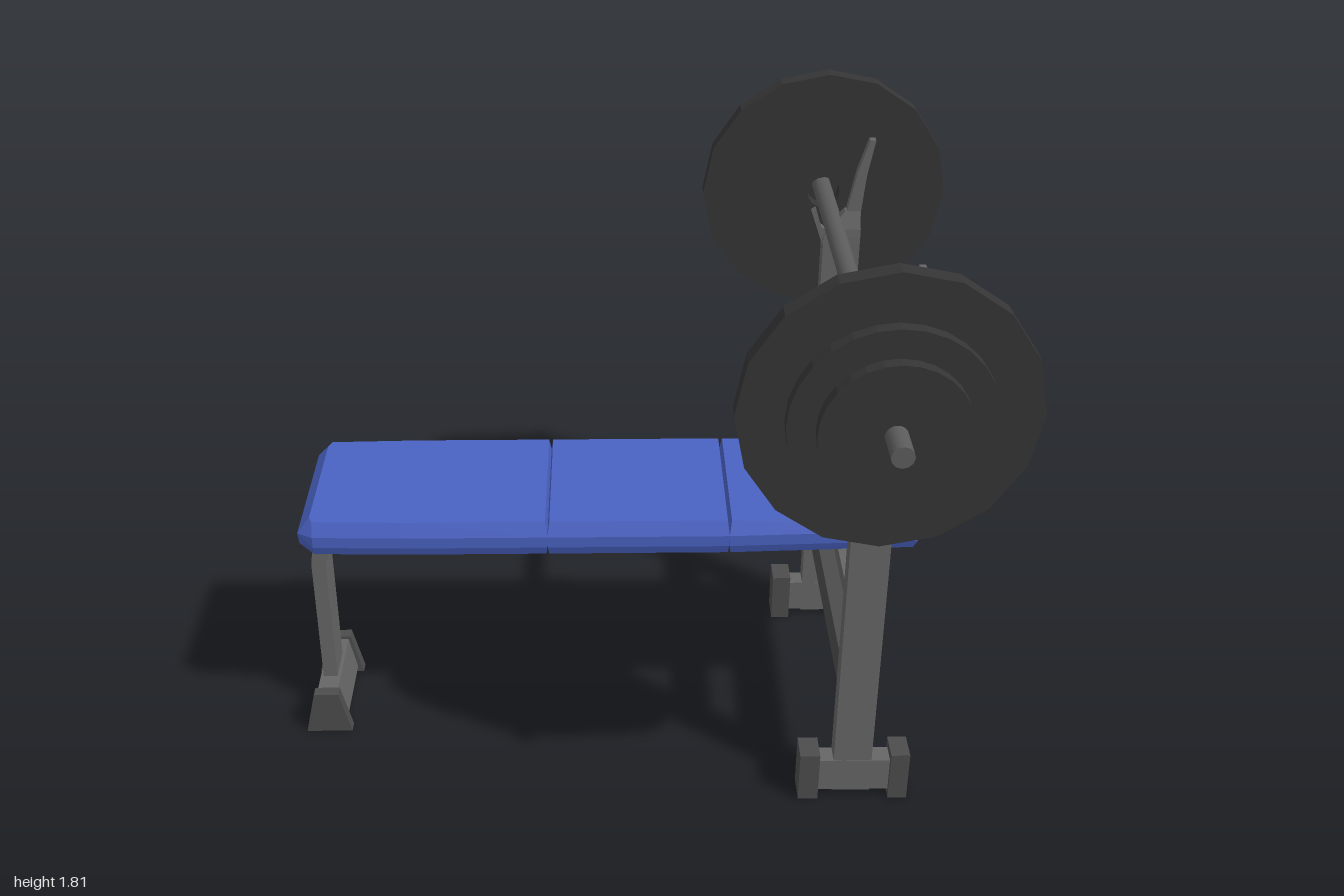
import * as THREE from 'three';
import { ConvexGeometry } from 'three/addons/geometries/ConvexGeometry.js';

const paint = (color) => new THREE.MeshStandardMaterial({ color, flatShading: true });

export function createModel() {
  const model = new THREE.Group();
  model.name = 'weightBench';
  const frame = paint(0x666666);
  const rubber = paint(0x4c4c4c);
  const iron = paint(0x353535);
  const vinyl = paint(0x4a63c4);

  const add = (name, geometry, material, parent = model) => {
    const mesh = new THREE.Mesh(geometry, material);
    mesh.name = name;
    parent.add(mesh);
    return mesh;
  };
  // Box given by its limits on each axis
  const box = (name, [x0, x1], [y0, y1], [z0, z1], material, parent) => {
    const mesh = add(name, new THREE.BoxGeometry(x1 - x0, y1 - y0, z1 - z0), material, parent);
    mesh.position.set((x0 + x1) / 2, (y0 + y1) / 2, (z0 + z1) / 2);
    return mesh;
  };
  // Side outline in x, y extruded between two z values
  const slab = (name, shape, z0, z1, material, parent) => {
    const geometry = new THREE.ExtrudeGeometry(shape, { depth: z1 - z0, bevelEnabled: false, curveSegments: 5 });
    const mesh = add(name, geometry, material, parent);
    mesh.position.z = z0;
    return mesh;
  };
  const polygon = (points) => new THREE.Shape(points.map(([x, y]) => new THREE.Vector2(x, y)));

  // Cushions: plan outline [x, half width], drawn in above and below the middle
  const cushion = (name, outline, insetStart, insetEnd) => {
    const first = outline[0][0];
    const last = outline[outline.length - 1][0];
    const points = [];
    for (const [y, k] of [[0.702, 0.7], [0.73, 0.1], [0.765, 0], [0.807, 1]]) {
      for (const [x, w] of outline) {
        const px = x === first ? x + insetStart * k : x === last ? x - insetEnd * k : x;
        for (const s of [1, -1]) points.push(new THREE.Vector3(px, y, s * (w - 0.018 * k)));
      }
    }
    add(name, new ConvexGeometry(points), vinyl);
  };
  cushion('footCushion', [[-0.95, 0.22], [-0.905, 0.245], [-0.65, 0.252], [-0.235, 0.252]], 0.035, 0.006);
  cushion('middleCushion', [[-0.235, 0.252], [0.285, 0.252]], 0.006, 0.006);
  cushion('headCushion', [[0.285, 0.252], [0.83, 0.232]], 0.006, 0.018);

  // Bent beam under the cushions that turns down into the front leg
  const beam = new THREE.Shape();
  beam.moveTo(0.585, 0.705);
  beam.lineTo(-0.8, 0.705);
  beam.bezierCurveTo(-0.9, 0.695, -0.95, 0.64, -0.953, 0.55);
  beam.lineTo(-0.953, 0.1);
  beam.lineTo(-0.91, 0.1);
  beam.lineTo(-0.91, 0.55);
  beam.bezierCurveTo(-0.905, 0.62, -0.87, 0.66, -0.8, 0.667);
  beam.lineTo(0.585, 0.667);
  slab('bentBeam', beam, -0.06, 0.06, frame);

  // Front foot with a flared cap at each end
  slab('frontFoot', polygon([[-0.985, 0.02], [-0.878, 0.02], [-0.9, 0.13], [-0.962, 0.13]]), -0.14, 0.14, frame);
  for (const s of [1, -1]) {
    const z = s * 0.15;
    slab('frontFootCap', polygon([[-1, 0], [-0.86, 0], [-0.893, 0.14], [-0.968, 0.14]]), z - 0.018, z + 0.018, rubber);
  }

  // Uprights with feet and bar hooks
  for (const s of [1, -1]) {
    const post = new THREE.Group();
    post.name = s > 0 ? 'frontUpright' : 'backUpright';
    post.position.z = s * 0.455;
    model.add(post);
    box('post', [0.592, 0.703], [0.02, 1.39], [-0.028, 0.028], frame, post);
    box('postFoot', [0.54, 0.765], [0.025, 0.132], [-0.03, 0.03], frame, post);
    box('postFootCap', [0.492, 0.55], [0, 0.16], [-0.043, 0.043], rubber, post);
    box('postFootCap', [0.757, 0.812], [0, 0.16], [-0.043, 0.043], rubber, post);

    // Shoulder narrowing from the post to the tall prong
    const shoulder = [];
    for (const [x0, x1, y, w] of [[0.592, 0.703, 1.39, 0.028], [0.63, 0.703, 1.415, 0.027], [0.655, 0.7, 1.47, 0.014]]) {
      for (const x of [x0, x1]) {
        for (const z of [w, -w]) shoulder.push(new THREE.Vector3(x, y, z));
      }
    }
    add('hookShoulder', new ConvexGeometry(shoulder), frame, post);
    slab('barHook', polygon([
      [0.592, 1.36], [0.703, 1.36], [0.702, 1.47], [0.712, 1.58], [0.732, 1.69], [0.715, 1.69],
      [0.684, 1.59], [0.66, 1.47], [0.645, 1.41], [0.61, 1.4], [0.585, 1.42], [0.568, 1.475], [0.555, 1.465],
    ]), -0.014, 0.014, frame, post);
  }

  // Cross braces between the uprights
  box('upperBrace', [0.6, 0.693], [0.655, 0.703], [-0.43, 0.43], frame);
  box('lowerBrace', [0.61, 0.685], [0.303, 0.41], [-0.43, 0.43], rubber);

  // Barbell
  const barbell = new THREE.Group();
  barbell.name = 'barbell';
  barbell.position.set(0.62, 1.43, 0);
  model.add(barbell);
  const barMaterial = new THREE.MeshStandardMaterial({ color: 0x5c5c5c });
  add('bar', new THREE.CylinderGeometry(0.029, 0.029, 1.89, 12), barMaterial, barbell).rotation.x = Math.PI / 2;

  // Weight plates: radius, hole radius, inner z, outer z, sides
  const plates = [
    ['largePlate', 0.377, 0.05, 0.692, 0.744, 16],
    ['mediumPlate', 0.258, 0.029, 0.763, 0.799, 28],
    ['smallPlate', 0.188, 0.029, 0.81, 0.845, 28],
  ];
  for (const [name, radius, hole, z0, z1, sides] of plates) {
    const h = (z1 - z0) / 2;
    const profile = [[hole, -h], [radius, -h], [radius, h], [hole, h], [hole, -h]].map(([r, y]) => new THREE.Vector2(r, y));
    for (const s of [1, -1]) {
      const plate = add(name, new THREE.LatheGeometry(profile, sides), iron, barbell);
      plate.rotation.x = s * Math.PI / 2;
      plate.position.z = s * (z0 + z1) / 2;
    }
  }
  return model;
}
